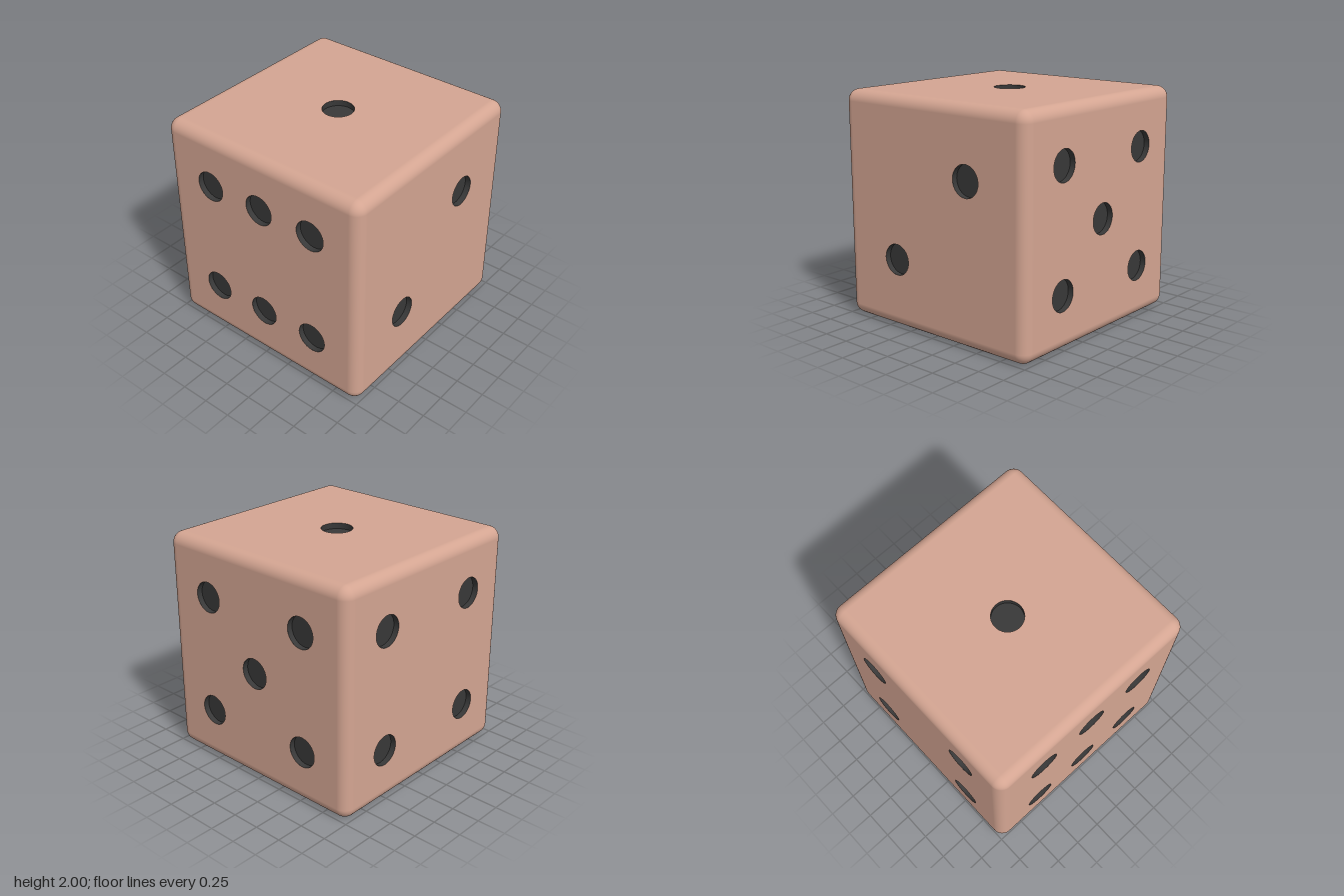
import * as THREE from 'three';
import { toCreasedNormals } from 'three/addons/utils/BufferGeometryUtils.js';

const HALF = 1;          // half the cube's side
const ROUND = 0.1;       // edge radius
const FLAT = HALF - ROUND;
const PIP_R = 0.135;
const PIP_DEPTH = 0.05;
const SEGMENTS = 48;
const K = 0.527;         // wide pip spacing
const A = 0.395;         // spacing of the pair

const body = new THREE.MeshStandardMaterial({ color: 0xd4a592 });
const dark = new THREE.MeshStandardMaterial({ color: 0x383838 });

function add(parent, name, geometry, material) {
  const mesh = new THREE.Mesh(geometry, material);
  mesh.name = name;
  parent.add(mesh);
  return mesh;
}

// Flat panel facing +z with round holes, each lined by a shallow cup
function makeFace(name, pips, cup) {
  const face = new THREE.Group();
  face.name = name;
  const shape = new THREE.Shape([
    new THREE.Vector2(-FLAT, -FLAT), new THREE.Vector2(FLAT, -FLAT),
    new THREE.Vector2(FLAT, FLAT), new THREE.Vector2(-FLAT, FLAT),
  ]);
  for (const [x, y] of pips) {
    shape.holes.push(new THREE.Path().absarc(x, y, PIP_R, 0, Math.PI * 2, true));
    add(face, 'pip', cup, dark).position.set(x, y, HALF);
  }
  add(face, 'panel', new THREE.ShapeGeometry(shape, SEGMENTS).translate(0, 0, HALF), body);
  return face;
}

export function createModel() {
  const die = new THREE.Group();
  die.name = 'die';
  const cube = new THREE.Group();
  cube.name = 'cube';
  cube.position.y = HALF;
  die.add(cube);

  // Recessed pip: inward wall and flat floor
  const profile = [[PIP_R, 0], [PIP_R, -PIP_DEPTH], [0, -PIP_DEPTH]].map(p => new THREE.Vector2(...p));
  const cup = toCreasedNormals(
    new THREE.LatheGeometry(profile, SEGMENTS).rotateX(Math.PI / 2), 0.6);

  // Six faces: name, rotation about x, rotation about y, pip positions
  const Q = Math.PI / 2;
  const four = [[-K, -K], [K, -K], [-K, K], [K, K]];
  const faces = [
    ['frontFace', 0, 0, [[A, A], [-A, -A]]],
    ['backFace', 0, 2 * Q, four],
    ['plusXFace', 0, Q, [...four, [0, 0]]],
    ['minusXFace', 0, -Q, [...four, [0, -K], [0, K]]],
    ['topFace', -Q, 0, [[0, 0]]],
    ['bottomFace', Q, 0, [[-K, -K], [0, 0], [K, K]]],
  ];
  for (const [name, rx, ry, pips] of faces) {
    const face = makeFace(name, pips, cup);
    face.rotation.set(rx, ry, 0);
    cube.add(face);
  }

  // Rounded edges: four quarter cylinders along each axis
  const edge = new THREE.CylinderGeometry(ROUND, ROUND, 2 * FLAT, 10, 1, true, 0, Q)
    .translate(FLAT, 0, FLAT);
  for (const [rx, rz] of [[0, 0], [Q, 0], [0, Q]]) {
    const edges = new THREE.Group();
    edges.name = 'edges';
    edges.rotation.set(rx, 0, rz);
    for (let i = 0; i < 4; i++) add(edges, 'edge', edge, body).rotation.y = i * Q;
    cube.add(edges);
  }

  // Rounded corners: eight sphere octants
  for (const side of [1, -1]) {
    const corner = new THREE.SphereGeometry(ROUND, 10, 10, Q, Q, side > 0 ? 0 : Q, Q)
      .translate(FLAT, side * FLAT, FLAT);
    for (let i = 0; i < 4; i++) add(cube, 'corner', corner, body).rotation.y = i * Q;
  }
  return die;
}
